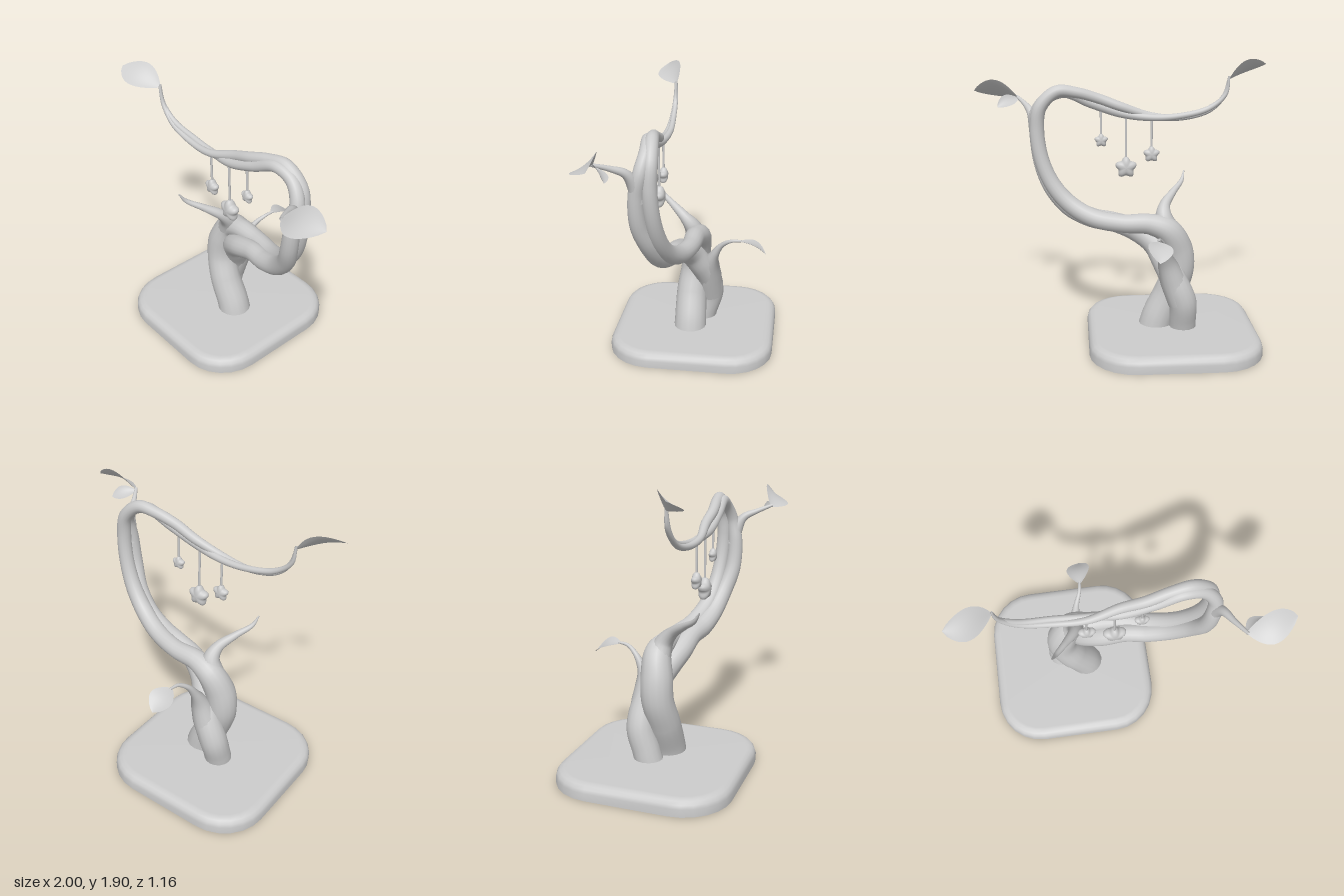
import * as THREE from 'three';

const mat = new THREE.MeshStandardMaterial({ color: 0xcccccc, side: THREE.DoubleSide });
const V = (a) => new THREE.Vector3(a[0], a[1], a[2]);

function add(group, name, geometry) {
  const mesh = new THREE.Mesh(geometry, mat);
  mesh.name = name;
  group.add(mesh);
  return mesh;
}

// Smooth tube through points [x, y, z, radius], tapering from point to point
function limb(points, steps, sides = 16) {
  const curve = new THREE.CatmullRomCurve3(points.map(V), false, 'centripetal');
  const geo = new THREE.TubeGeometry(curve, steps, 1, sides, false);
  const pos = geo.attributes.position;
  const v = new THREE.Vector3();
  for (let i = 0; i <= steps; i++) {
    const u = i / steps;
    const c = curve.getPointAt(u);
    const t = curve.getUtoTmapping(u) * (points.length - 1);
    const k = Math.min(Math.floor(t), points.length - 2);
    const r = THREE.MathUtils.lerp(points[k][3], points[k + 1][3], t - k);
    for (let j = 0; j <= sides; j++) {
      const n = i * (sides + 1) + j;
      v.fromBufferAttribute(pos, n).sub(c).multiplyScalar(r).add(c);
      pos.setXYZ(n, v.x, v.y, v.z);
    }
  }
  return geo;
}

// Thin arched leaf from base to tip; side is the half-width vector
function leaf(base, tip, side, arch) {
  const geo = new THREE.PlaneGeometry(1, 1, 8, 14);
  const pos = geo.attributes.position;
  const a = V(base), axis = V(tip).sub(a), w = V(side);
  const up = new THREE.Vector3().crossVectors(w, axis).normalize();
  if (up.y < 0) up.negate();
  for (let i = 0; i < pos.count; i++) {
    const s = pos.getX(i) * 2, t = pos.getY(i) + 0.5;
    const half = Math.pow(Math.max(0, Math.sin(Math.PI * Math.pow(t, 1.1))), 0.75);
    const p = a.clone().addScaledVector(axis, t).addScaledVector(w, s * half);
    p.addScaledVector(up, arch * Math.sin(Math.PI * t) + 0.015 * s * s * half);
    pos.setXYZ(i, p.x, p.y, p.z);
  }
  geo.computeVertexNormals();
  return geo;
}

// Rounded square plinth: hollow underneath, with a softened top edge
function plinth(half, corner, rings) {
  const pos = [], index = [], seg = 6, n = 4 * (seg + 1);
  for (const [inset, y] of rings) {
    for (let q = 0; q < 4; q++) {
      for (let s = 0; s <= seg; s++) {
        const a = (q + s / seg) * Math.PI / 2;
        const m = (q + 0.5) * Math.PI / 2;
        const c = half - corner, r = corner - inset;
        pos.push(Math.sign(Math.cos(m)) * c + r * Math.cos(a), y,
          Math.sign(Math.sin(m)) * c + r * Math.sin(a));
      }
    }
  }
  for (let k = 0; k < rings.length - 1; k++) {
    for (let j = 0; j < n; j++) {
      const a = k * n + j, b = k * n + (j + 1) % n;
      index.push(a, a + n, b, b, a + n, b + n);
    }
  }
  const top = (rings.length - 1) * n, mid = pos.length / 3;
  pos.push(0, rings[rings.length - 1][1], 0);
  for (let j = 0; j < n; j++) index.push(top + j, mid, top + (j + 1) % n);
  const geo = new THREE.BufferGeometry();
  geo.setAttribute('position', new THREE.Float32BufferAttribute(pos, 3));
  geo.setIndex(index);
  geo.computeVertexNormals();
  return geo;
}

// Puffy five-lobed star
function star(r) {
  const geo = new THREE.SphereGeometry(1, 40, 14);
  geo.rotateX(Math.PI / 2);
  const pos = geo.attributes.position;
  for (let i = 0; i < pos.count; i++) {
    const x = pos.getX(i), y = pos.getY(i), z = pos.getZ(i);
    const k = r * (0.86 + 0.14 * Math.cos(5 * (Math.atan2(y, x) - Math.PI / 2)));
    const puff = Math.pow(Math.max(Math.hypot(x, y), 1e-4), -0.3);
    pos.setXYZ(i, x * k * puff, y * k * puff, z * r * 0.5);
  }
  geo.computeVertexNormals();
  return geo;
}

export function createModel() {
  const g = new THREE.Group();
  g.name = 'twistedTreeStand';

  const base = add(g, 'base', plinth(0.58, 0.31,
    [[0, 0], [0, 0.05], [0.008, 0.073], [0.025, 0.092], [0.05, 0.1], [0.07, 0.102]]));
  base.position.x = -0.34;

  // Two entwined strands forming trunk, bough and arch
  add(g, 'frontStrand', limb([
    [-0.22, 0.04, 0.03, 0.12], [-0.25, 0.15, 0.03, 0.115], [-0.33, 0.33, 0.03, 0.11],
    [-0.385, 0.5, 0.01, 0.105], [-0.37, 0.65, 0, 0.105], [-0.3, 0.78, -0.02, 0.09],
    [-0.18, 0.825, -0.01, 0.07], [0, 0.83, 0, 0.062], [0.2, 0.86, 0.05, 0.062],
    [0.36, 0.95, 0.1, 0.06], [0.47, 1.08, 0.13, 0.055], [0.54, 1.25, 0.15, 0.05],
    [0.565, 1.45, 0.16, 0.048], [0.54, 1.6, 0.155, 0.045], [0.43, 1.7, 0.165, 0.042],
    [0.3, 1.69, 0.18, 0.037], [0.15, 1.645, 0.2, 0.035], [0, 1.59, 0.2, 0.032],
    [-0.2, 1.525, 0.225, 0.024], [-0.4, 1.51, 0.215, 0.021], [-0.6, 1.56, 0.21, 0.019],
    [-0.7, 1.66, 0.205, 0.015], [-0.73, 1.78, 0.205, 0.008]], 180));
  add(g, 'backStrand', limb([
    [-0.41, 0.04, -0.03, 0.095], [-0.41, 0.15, -0.06, 0.092], [-0.4, 0.3, -0.1, 0.095],
    [-0.34, 0.45, -0.09, 0.09], [-0.28, 0.57, -0.04, 0.085], [-0.22, 0.68, 0.02, 0.085],
    [-0.1, 0.76, 0.07, 0.077], [0.05, 0.815, 0.09, 0.067], [0.2, 0.84, 0.12, 0.067],
    [0.35, 0.91, 0.15, 0.065], [0.47, 1.04, 0.19, 0.06], [0.54, 1.2, 0.235, 0.055],
    [0.57, 1.4, 0.24, 0.05], [0.57, 1.55, 0.21, 0.045], [0.5, 1.65, 0.19, 0.04],
    [0.38, 1.69, 0.2, 0.037], [0.2, 1.615, 0.215, 0.035], [0, 1.545, 0.22, 0.032],
    [-0.2, 1.515, 0.2, 0.024], [-0.4, 1.525, 0.19, 0.021], [-0.6, 1.575, 0.2, 0.019],
    [-0.71, 1.67, 0.2, 0.014], [-0.73, 1.79, 0.2, 0.008]], 180));

  // Side shoots
  add(g, 'rearTwig', limb([
    [-0.39, 0.3, -0.1, 0.09], [-0.33, 0.46, -0.1, 0.088], [-0.29, 0.58, -0.11, 0.065],
    [-0.27, 0.66, -0.14, 0.032], [-0.25, 0.74, -0.19, 0.018], [-0.22, 0.79, -0.26, 0.012],
    [-0.21, 0.8, -0.33, 0.008]], 40));
  add(g, 'frontStub', limb([
    [-0.33, 0.74, -0.01, 0.085], [-0.28, 0.86, 0.02, 0.06], [-0.29, 0.93, 0.08, 0.038],
    [-0.36, 1.0, 0.18, 0.024], [-0.43, 1.06, 0.27, 0.015], [-0.45, 1.12, 0.31, 0.004]], 40));
  add(g, 'leftTwig', limb([
    [0.565, 1.36, 0.23, 0.045], [0.585, 1.48, 0.25, 0.042], [0.61, 1.55, 0.29, 0.028],
    [0.65, 1.59, 0.37, 0.018], [0.71, 1.63, 0.47, 0.01]], 30));

  // Leaves
  add(g, 'leftLeaf', leaf([0.7, 1.62, 0.46], [1.0, 1.68, 0.42], [0, 0.065, -0.08], 0.035));
  add(g, 'leftSmallLeaf', leaf([0.7, 1.62, 0.46], [0.84, 1.57, 0.36], [0.03, 0.03, 0.025], 0.015));
  add(g, 'rightLeaf', leaf([-0.73, 1.77, 0.2], [-1.0, 1.86, 0.3], [0.01, 0.05, -0.08], 0.025));
  add(g, 'rearLeaf', leaf([-0.21, 0.795, -0.31], [-0.2, 0.715, -0.505], [0.08, 0.015, 0], 0.025));

  // Hanging stars: [x, centre height, radius, cord top]
  for (const [x, y, r, top] of [[-0.21, 1.26, 0.058, 1.52], [-0.035, 1.17, 0.077, 1.55], [0.135, 1.36, 0.048, 1.6]]) {
    const pendant = new THREE.Group();
    pendant.name = 'starPendant';
    pendant.position.set(x, y, 0.21);
    add(pendant, 'star', star(r));
    const cord = add(pendant, 'cord', new THREE.CylinderGeometry(0.008, 0.008, top - y, 8));
    cord.position.y = (top - y) / 2;
    g.add(pendant);
  }
  return g;
}
